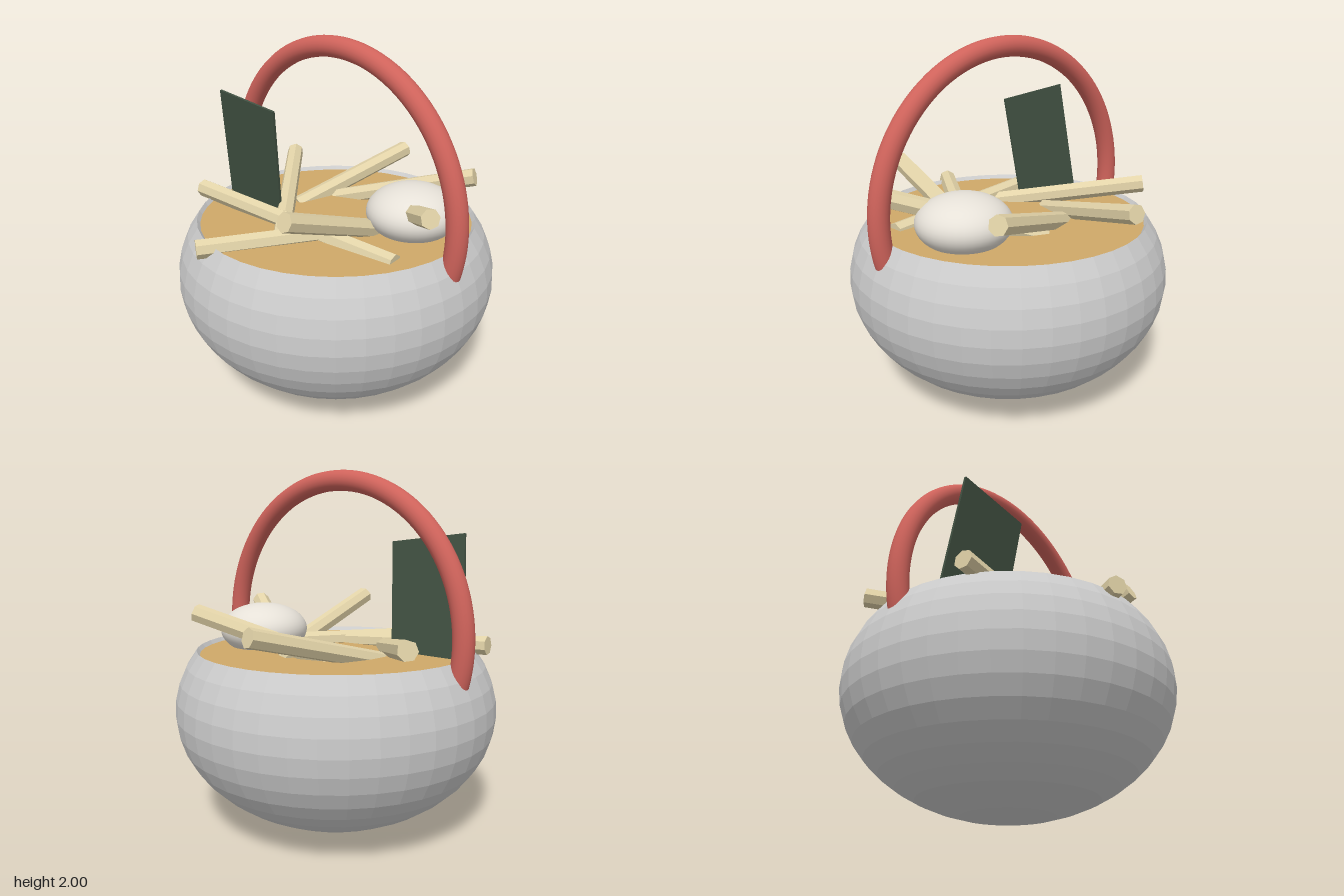
import * as THREE from 'three';

const mat = (color, opts = {}) => new THREE.MeshStandardMaterial({ color, ...opts });

export function createModel() {
  const model = new THREE.Group();
  const add = (name, geometry, material, x = 0, y = 0, z = 0) => {
    const mesh = new THREE.Mesh(geometry, material);
    mesh.name = name;
    mesh.position.set(x, y, z);
    model.add(mesh);
    return mesh;
  };

  // Faceted bowl: squashed sphere cut open at the top, with a short inner lip
  const R = 0.91, H = 0.675, rimAngle = 1.04, rows = 15;
  const profile = [];
  for (let i = 0; i <= rows; i++) {
    const a = Math.PI + (rimAngle - Math.PI) * i / rows;
    profile.push(new THREE.Vector2(Math.max(0, R * Math.sin(a)), H + 0.005 + H * Math.cos(a)));
  }
  profile.push(new THREE.Vector2(0.76, 0.99));
  add('bowl', new THREE.LatheGeometry(profile, 40),
    mat(0xcccccc, { flatShading: true, side: THREE.DoubleSide }));

  // Flat surface of the filling
  const filling = add('filling', new THREE.CircleGeometry(0.77, 40), mat(0xcfa868), 0, 1.0, 0);
  filling.rotation.x = -Math.PI / 2;

  // Hoop handle, its ends sunk into the bowl wall
  const arc = Math.PI + 0.9;
  const handle = add('handle', new THREE.TorusGeometry(0.83, 0.056, 20, 80, arc), mat(0xcf635b), 0, 1.114, 0);
  handle.rotation.z = -0.45;

  // Flattened egg
  const egg = add('egg', new THREE.SphereGeometry(0.255, 40, 24), mat(0xe6e1d8), 0.43, 1.1, -0.16);
  egg.scale.y = 0.6;

  // Thin leaning sheet
  const sheet = add('sheet', new THREE.BoxGeometry(0.463, 0.68, 0.014), mat(0x415142), -0.464, 1.30, 0.228);
  sheet.rotation.set(0.13, 0, -0.1);

  // Sticks: free end, then the end buried in the filling
  const sticks = [
    [[-0.155, 1.18, -0.8], [-0.31, 0.97, 0.02]],
    [[0.54, 1.22, -0.57], [-0.25, 0.97, -0.22]],
    [[-0.75, 1.13, -0.36], [0.02, 0.96, 0.44]],
    [[-0.76, 1.06, 0.38], [0.62, 0.985, 0.21]],
    [[-0.165, 1.01, 0.84], [0.35, 1.02, -0.08]],
    [[0.31, 1.25, 0.65], [0.31, 0.98, -0.08]],
    [[0.74, 1.23, 0.1], [0.02, 0.97, -0.34]],
  ];
  const wood = mat(0xe2d3a8, { flatShading: true });
  const up = new THREE.Vector3(0, 1, 0);
  sticks.forEach(([from, to], i) => {
    const a = new THREE.Vector3(...from), b = new THREE.Vector3(...to);
    const stick = add(`stick${i + 1}`, new THREE.CylinderGeometry(0.052, 0.052, a.distanceTo(b), 7), wood);
    stick.position.lerpVectors(a, b, 0.5);
    stick.quaternion.setFromUnitVectors(up, a.sub(b).normalize());
  });

  return model;
}
